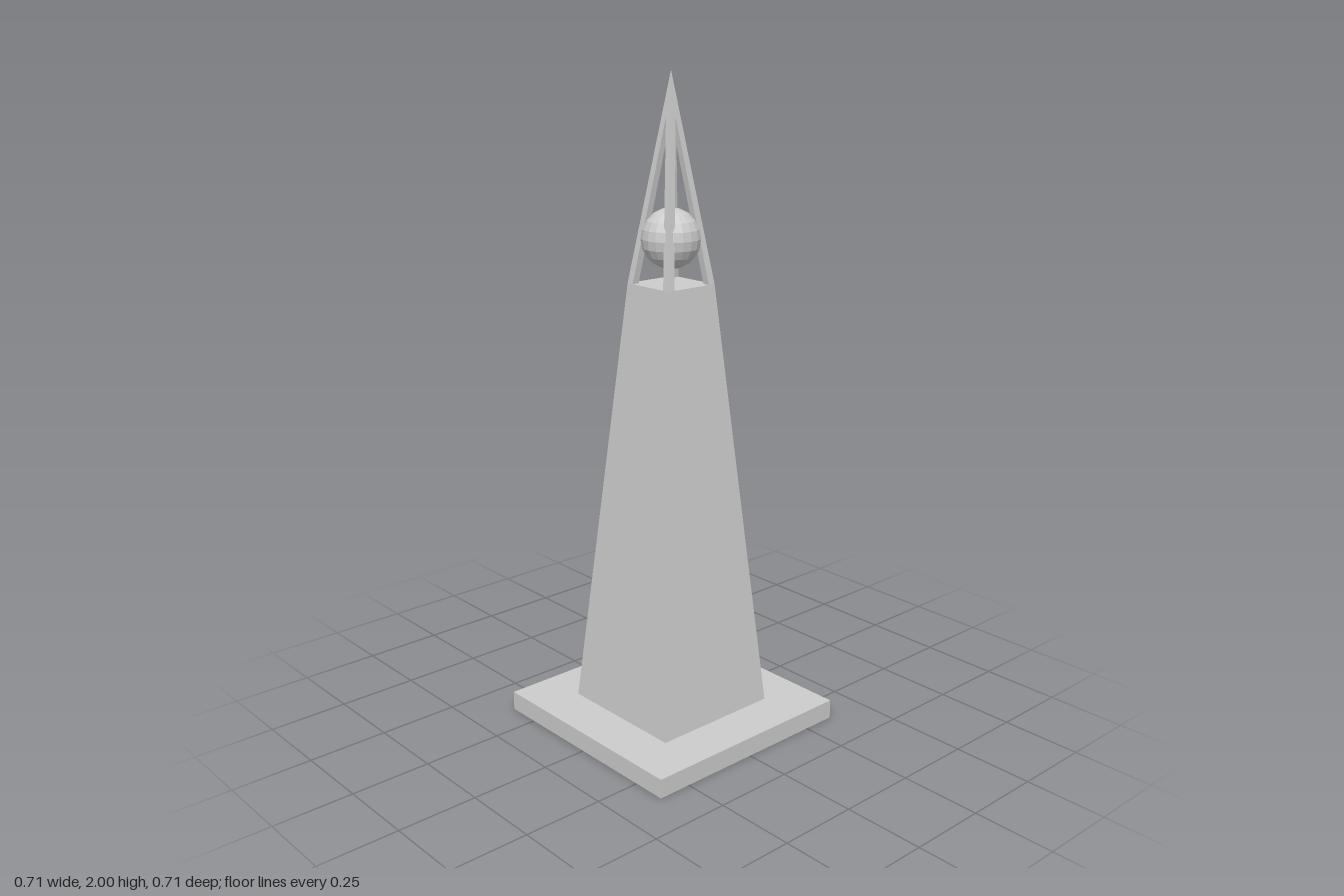
import * as THREE from 'three';

const DECK = 1.392, JOIN = 1.87, TOP = 2; // heights: deck, where the struts merge, tip
const HALF = 0.09, INNER = 0.067;         // half width of the deck, half width of the openings

export function createModel() {
  const group = new THREE.Group();
  const stone = new THREE.MeshStandardMaterial({ color: 0xcccccc, flatShading: true, side: THREE.DoubleSide });
  stone.name = 'paleGrey';

  const add = (name, geometry, y = 0) => {
    const mesh = new THREE.Mesh(geometry, stone);
    mesh.name = name;
    mesh.position.y = y;
    group.add(mesh);
    return mesh;
  };

  // Square frustum given by half widths, standing on its base
  const frustum = (top, bottom, height, open) => {
    const g = new THREE.CylinderGeometry(top * Math.SQRT2, bottom * Math.SQRT2, height, 4, 1, open);
    return g.rotateY(Math.PI / 4).translate(0, height / 2, 0);
  };

  // Plinth: shallow box, open underneath
  const plinth = new THREE.BoxGeometry(0.714, 0.06, 0.714);
  const index = Array.from(plinth.index.array);
  index.splice(18, 6); // drop the bottom face
  plinth.setIndex(index);
  plinth.clearGroups();
  add('plinth', plinth, 0.03);

  // Tapering tower with a flat deck
  add('tower', frustum(HALF, 0.21, DECK - 0.06, false), 0.06);

  // Four corner struts leaning in towards the tip
  const joinHalf = HALF * (TOP - JOIN) / (TOP - DECK);
  for (const sx of [-1, 1]) {
    for (const sz of [-1, 1]) {
      const strut = new THREE.BoxGeometry(1, 1, 1);
      const p = strut.attributes.position;
      for (let i = 0; i < p.count; i++) {
        const upper = p.getY(i) > 0;
        const outer = upper ? joinHalf : HALF;
        const inner = upper ? 0 : INNER;
        const place = (v, s) => s * (v * s > 0 ? outer : inner);
        p.setXYZ(i, place(p.getX(i), sx), upper ? JOIN : DECK, place(p.getZ(i), sz));
      }
      strut.computeVertexNormals();
      add('strut', strut);
    }
  }

  // Solid pointed tip
  add('spireTip', frustum(0, joinHalf, TOP - JOIN, false), JOIN);

  // Ball held between the struts
  add('ball', new THREE.SphereGeometry(0.089, 20, 10), 1.525);

  return group;
}
